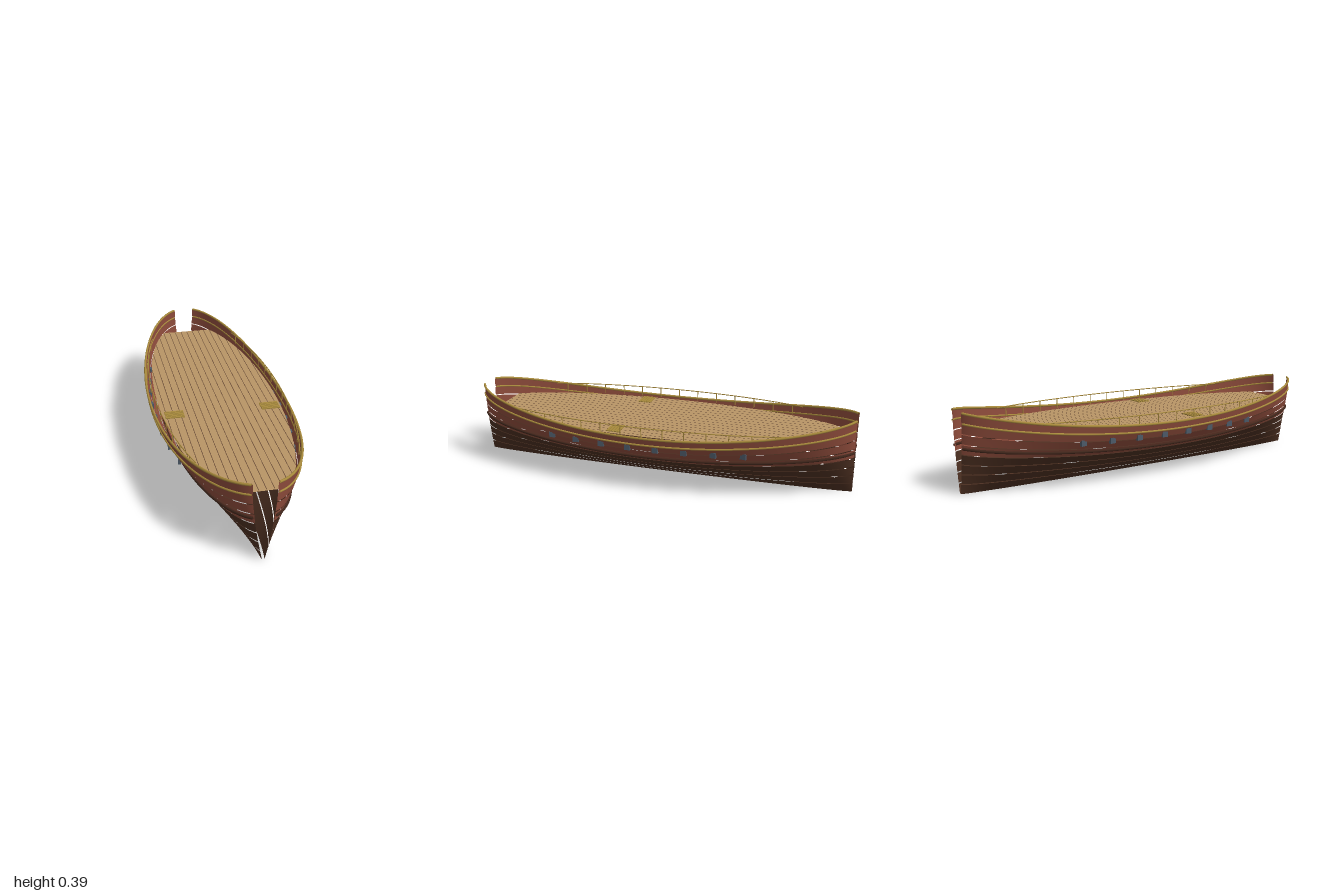
import * as THREE from 'three';
import { ParametricGeometry } from 'three/addons/geometries/ParametricGeometry.js';

// Midship half-widths at each strake edge, keel to rim
const WIDTHS = [0.035, 0.1, 0.157, 0.208, 0.253, 0.291, 0.322, 0.34, 0.347];
const STEP = 0.0362;
const DECK_Y = 0.285;

const taper = z => Math.sqrt(Math.max(0, 1 - 0.975 * z * z));
const sheer = z => 1 + 0.345 * z * z;

// Point on the hull: k = strake level (0 to 8), z = position along the length
function hullPoint(k, z, side, out = 0) {
  const i = Math.min(7, Math.floor(k));
  const w = THREE.MathUtils.lerp(WIDTHS[i], WIDTHS[i + 1], k - i);
  return new THREE.Vector3(side * (w * taper(z) + out), k * STEP * sheer(z), z);
}

const material = color =>
  new THREE.MeshStandardMaterial({ color, side: THREE.DoubleSide });

const mats = {
  lower: material(0x4a2e20),
  upper: material(0x8b4a3a),
  wale: material(0x40261b),
  gold: material(0xa88a3c),
  deck: material(0xb89565),
  seam: material(0x5f4230),
  port: material(0x4c5a68),
};

function add(parent, name, geometry, mat, x = 0, y = 0, z = 0) {
  const mesh = new THREE.Mesh(geometry, mat);
  mesh.name = name;
  mesh.position.set(x, y, z);
  parent.add(mesh);
  return mesh;
}

// Round moulding that follows a rule along z
function moulding(parent, name, rule, zMax, radius, mat) {
  const points = [];
  for (let i = 0; i <= 32; i++) {
    points.push(rule(zMax * Math.sin((i / 32 - 0.5) * Math.PI)));
  }
  const curve = new THREE.CatmullRomCurve3(points);
  add(parent, name, new THREE.TubeGeometry(curve, 64, radius, 8), mat);
  // Closed ends
  for (const p of [points[0], points[32]]) {
    const cap = add(parent, name + 'End', new THREE.CircleGeometry(radius, 8), mat, p.x, p.y, p.z);
    if (p.z < 0) cap.rotation.y = Math.PI;
  }
}

function buildSide(side) {
  const group = new THREE.Group();
  group.name = side > 0 ? 'leftSide' : 'rightSide';

  // Strakes, with a narrow open seam between neighbours
  for (let k = 0; k < 8; k++) {
    const lo = k === 0 ? 0 : k + 0.05;
    const hi = k === 7 ? 8 : k + 0.95;
    const geometry = new ParametricGeometry((u, v, target) => {
      const z = Math.sin((u - 0.5) * Math.PI);
      target.copy(hullPoint(lo + (hi - lo) * v, z, side));
    }, 64, 2);
    add(group, 'strake', geometry, k < 4 ? mats.lower : mats.upper);
  }

  // Mouldings
  moulding(group, 'rim', z => hullPoint(8, z, side), 0.997, 0.006, mats.gold);
  moulding(group, 'upperMoulding', z => hullPoint(7, z, side, 0.002), 0.997, 0.005, mats.gold);
  moulding(group, 'wale', z => hullPoint(4.6, z, side, 0.003), 0.997, 0.007, mats.wale);

  // Gun ports
  for (let i = 0; i < 8; i++) {
    const z = (i - 3.5) * 0.1425;
    const p = hullPoint(0.23 / (STEP * sheer(z)), z, side);
    const port = add(group, 'gunPort', new THREE.BoxGeometry(0.014, 0.028, 0.03), mats.port, p.x, p.y, z);
    port.rotation.y = side * Math.atan(0.32 * 0.975 * z / taper(z));
  }

  // Level handrail on posts
  moulding(group, 'handrail', z => new THREE.Vector3(side * 0.328 * taper(z), 0.337, z), 0.7, 0.0025, mats.gold);
  for (let i = -6; i <= 6; i++) {
    const z = i * 0.1075;
    const foot = DECK_Y;
    add(group, 'railPost', new THREE.CylinderGeometry(0.0025, 0.0025, 0.337 - foot, 6),
      mats.gold, side * 0.328 * taper(z), (0.337 + foot) / 2, z);
  }

  // Slatted grating on the deck
  for (let i = 0; i < 5; i++) {
    add(group, 'gratingSlat', new THREE.BoxGeometry(0.095, 0.005, 0.01),
      mats.gold, side * 0.245, DECK_Y + 0.005, 0.134 + i * 0.0142);
  }
  return group;
}

function buildDeck() {
  const group = new THREE.Group();
  group.name = 'deck';
  const half = z => 0.308 * taper(z);

  // Flat floor with square ends
  const outline = [];
  for (const side of [1, -1]) {
    for (let i = 0; i <= 32; i++) {
      const z = side * 0.9 * Math.sin((i / 32 - 0.5) * Math.PI);
      outline.push(new THREE.Vector2(side * half(z), z));
    }
  }
  const floor = add(group, 'deckFloor', new THREE.ShapeGeometry(new THREE.Shape(outline)), mats.deck, 0, DECK_Y, 0);
  floor.rotation.x = -Math.PI / 2;

  // Plank seams, each as long as the floor at its place
  for (let i = -8; i <= 8; i++) {
    const x = i * 0.0355;
    const reach = Math.min(0.9, Math.sqrt((1 - (x / 0.308) ** 2) / 0.975));
    const seam = add(group, 'plankSeam', new THREE.PlaneGeometry(0.003, 2 * reach - 0.01), mats.seam, x, DECK_Y + 0.001, 0);
    seam.rotation.x = -Math.PI / 2;
  }
  return group;
}

export function createModel() {
  const ship = new THREE.Group();
  ship.name = 'shipHull';
  ship.add(buildSide(1), buildSide(-1), buildDeck());
  return ship;
}
